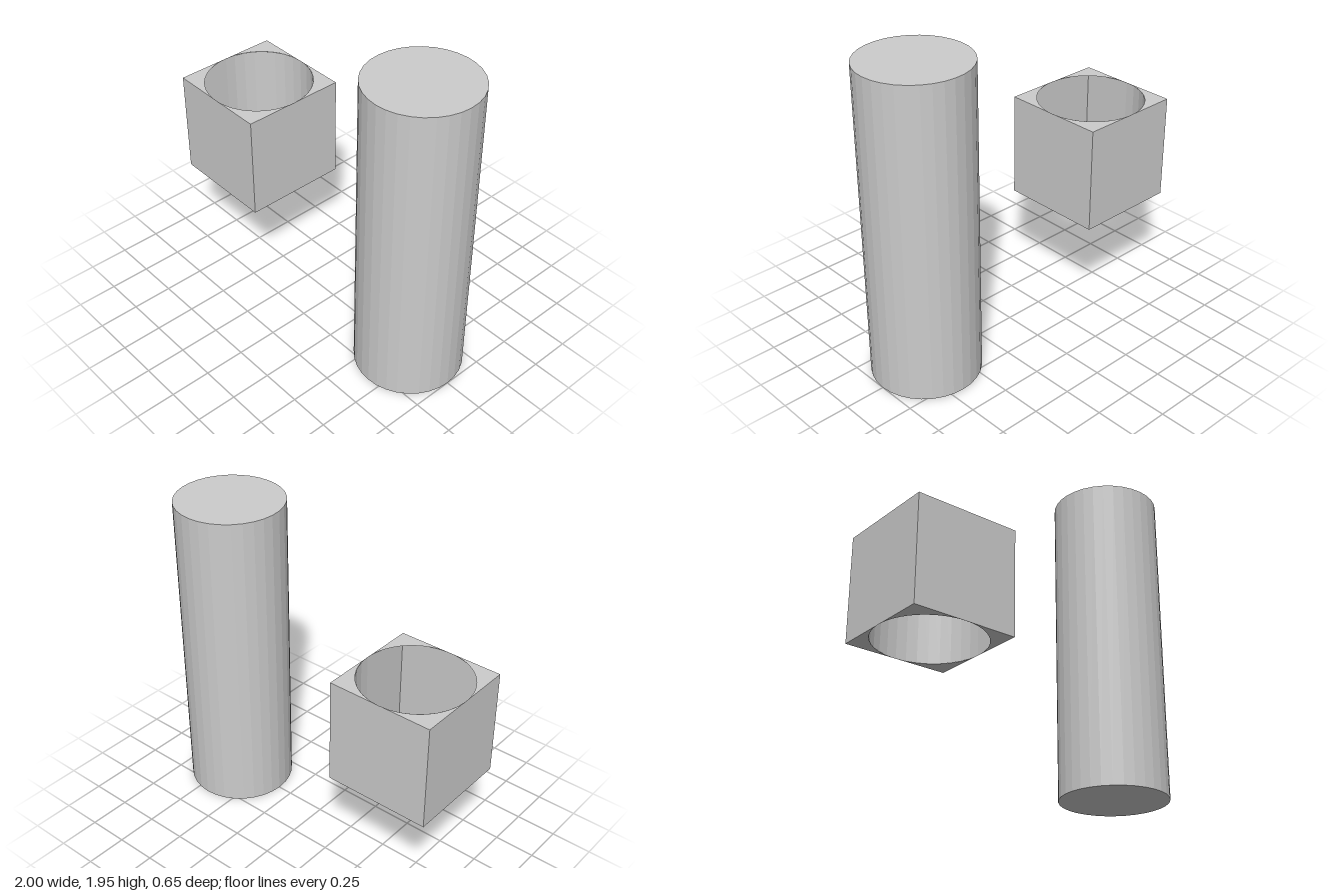
import * as THREE from 'three';

const R = 0.3275;        // post radius, also half the block's side
const POST_HEIGHT = 1.95;
const OFFSET = 1 - R;    // distance of each part from the centre
const SIDES = 32;

export function createModel() {
  const model = new THREE.Group();
  const material = new THREE.MeshStandardMaterial({
    color: 0xcccccc, flatShading: true, side: THREE.DoubleSide,
  });
  const add = (parent, name, geometry) => {
    const mesh = new THREE.Mesh(geometry, material);
    mesh.name = name;
    parent.add(mesh);
    return mesh;
  };

  // Solid round post
  add(model, 'post', new THREE.CylinderGeometry(R, R, POST_HEIGHT, SIDES))
    .position.set(OFFSET, POST_HEIGHT / 2, 0);

  // Hollow cube level with the middle of the post
  const block = new THREE.Group();
  block.name = 'block';
  block.position.set(-OFFSET, POST_HEIGHT / 2, 0);
  model.add(block);

  // Four outer walls: an open four-sided tube turned square
  const walls = new THREE.CylinderGeometry(R * Math.SQRT2, R * Math.SQRT2, 2 * R, 4, 1, true);
  add(block, 'blockWalls', walls.rotateY(Math.PI / 4));

  // Curved lining over the back half of the bore; the front half is open to the walls
  add(block, 'boreLining',
    new THREE.CylinderGeometry(R, R, 2 * R, SIDES / 2, 1, true, Math.PI / 2, Math.PI));

  // Corner pieces left around the round opening, above and below
  const corner = new THREE.Shape();
  corner.moveTo(R, 0);
  corner.lineTo(R, R);
  corner.lineTo(0, R);
  corner.absarc(0, 0, R, Math.PI / 2, 0, true);
  for (const side of [1, -1]) {
    for (let i = 0; i < 4; i++) {
      const cap = new THREE.ShapeGeometry(corner, SIDES / 4);
      cap.rotateX(-side * Math.PI / 2).rotateY(i * Math.PI / 2).translate(0, side * R, 0);
      add(block, side > 0 ? 'topCorner' : 'bottomCorner', cap);
    }
  }

  return model;
}
